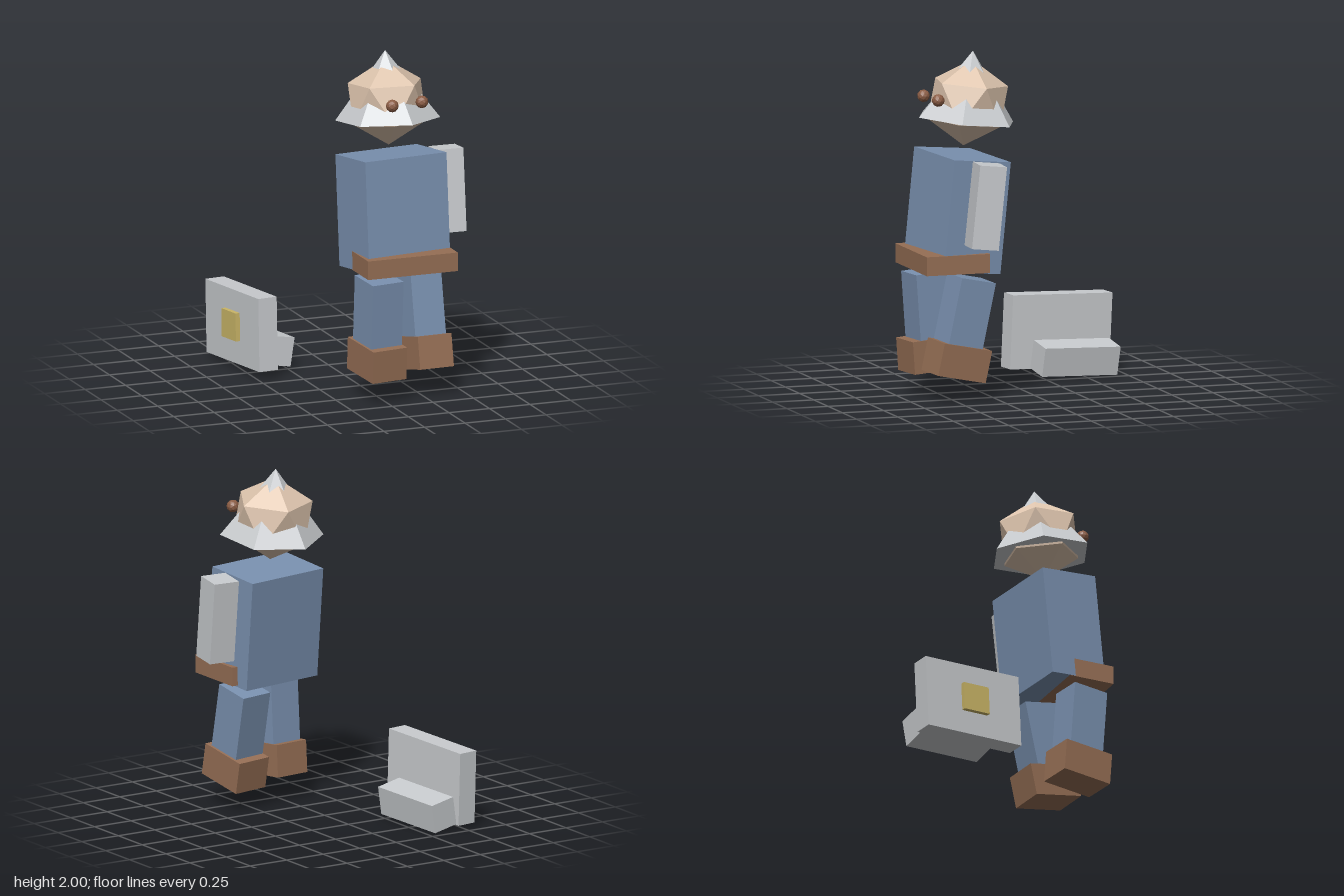
import * as THREE from 'three';

const deg = THREE.MathUtils.degToRad;

function material(name, color) {
  const m = new THREE.MeshStandardMaterial({ color, flatShading: true });
  m.name = name;
  return m;
}

export function createModel() {
  const blue = material('blue cloth', 0x7a91b0);
  const brown = material('brown leather', 0x966f55);
  const grey = material('light grey', 0xc8cbce);
  const skin = material('skin', 0xdec5ae);
  const gold = material('gold', 0xccb768);
  const dark = material('eye brown', 0x8a5c44);

  const model = new THREE.Group();
  model.name = 'figure';

  function add(parent, name, geometry, mat, position, tilt = [0, 0, 0]) {
    const mesh = new THREE.Mesh(geometry, mat);
    mesh.name = name;
    mesh.position.set(...position);
    mesh.rotation.set(...tilt.map(deg));
    parent.add(mesh);
    return mesh;
  }
  const box = (name, size, mat, position, tilt) =>
    add(model, name, new THREE.BoxGeometry(...size), mat, position, tilt);

  // Body
  box('torso', [0.53, 0.65, 0.36], blue, [0.132, 1.078, 0.425], [-5.6, 7, 0]);
  box('belt', [0.553, 0.11, 0.385], brown, [0.143, 0.807, 0.517]);
  box('leftArm', [0.16, 0.485, 0.16], grey, [0.488, 1.152, 0.375], [-6, -3.5, 0]);

  // Striding legs with boots
  const legs = [
    { side: 'left', tilt: [-12, 7, 0], leg: [0.29, 0.487, 0.44], boot: [0.295, 0.234, 0.484] },
    { side: 'right', tilt: [4, 7, 0], leg: [-0.009, 0.49, 0.551], boot: [-0.012, 0.237, 0.542] },
  ];
  for (const { side, tilt, leg, boot } of legs) {
    box(side + 'Leg', [0.2, 0.45, 0.22], blue, leg, tilt);
    box(side + 'Boot', [0.22, 0.19, 0.31], brown, boot, tilt);
  }

  // Head: point-up icosahedron pushed through a six-sided cone
  const head = new THREE.Group();
  head.name = 'head';
  head.position.set(0.122, 1.7, 0.358);
  head.rotation.set(deg(-6), deg(7), 0);
  model.add(head);
  const skull = new THREE.IcosahedronGeometry(0.25, 0);
  skull.rotateZ(Math.atan(2 / (1 + Math.sqrt(5))));
  skull.rotateY(Math.PI);
  add(head, 'face', skull, skin, [0, 0, 0]);
  add(head, 'hatCone', new THREE.ConeGeometry(0.302, 0.4, 6), grey, [0, 0.1, 0]);

  // Eyes
  const eye = new THREE.IcosahedronGeometry(0.037, 1);
  add(model, 'rightEye', eye, dark, [0.057, 1.741, 0.604], [-6, 7, 0]);
  add(model, 'leftEye', eye, dark, [0.249, 1.741, 0.581], [-6, 7, 0]);

  // Loose slab with a gold plate and a small block leaning on it
  const slab = box('slab', [0.12, 0.43, 0.635], grey, [-0.479, 0.252, -0.39], [-2.5, 7, 0]);
  add(slab, 'goldPlate', new THREE.BoxGeometry(0.055, 0.165, 0.17), gold, [-0.06, 0.008, 0.005]);
  box('leaningBlock', [0.16, 0.17, 0.48], grey, [-0.337, 0.108, -0.455], [-2.5, 7, -10]);

  return model;
}
